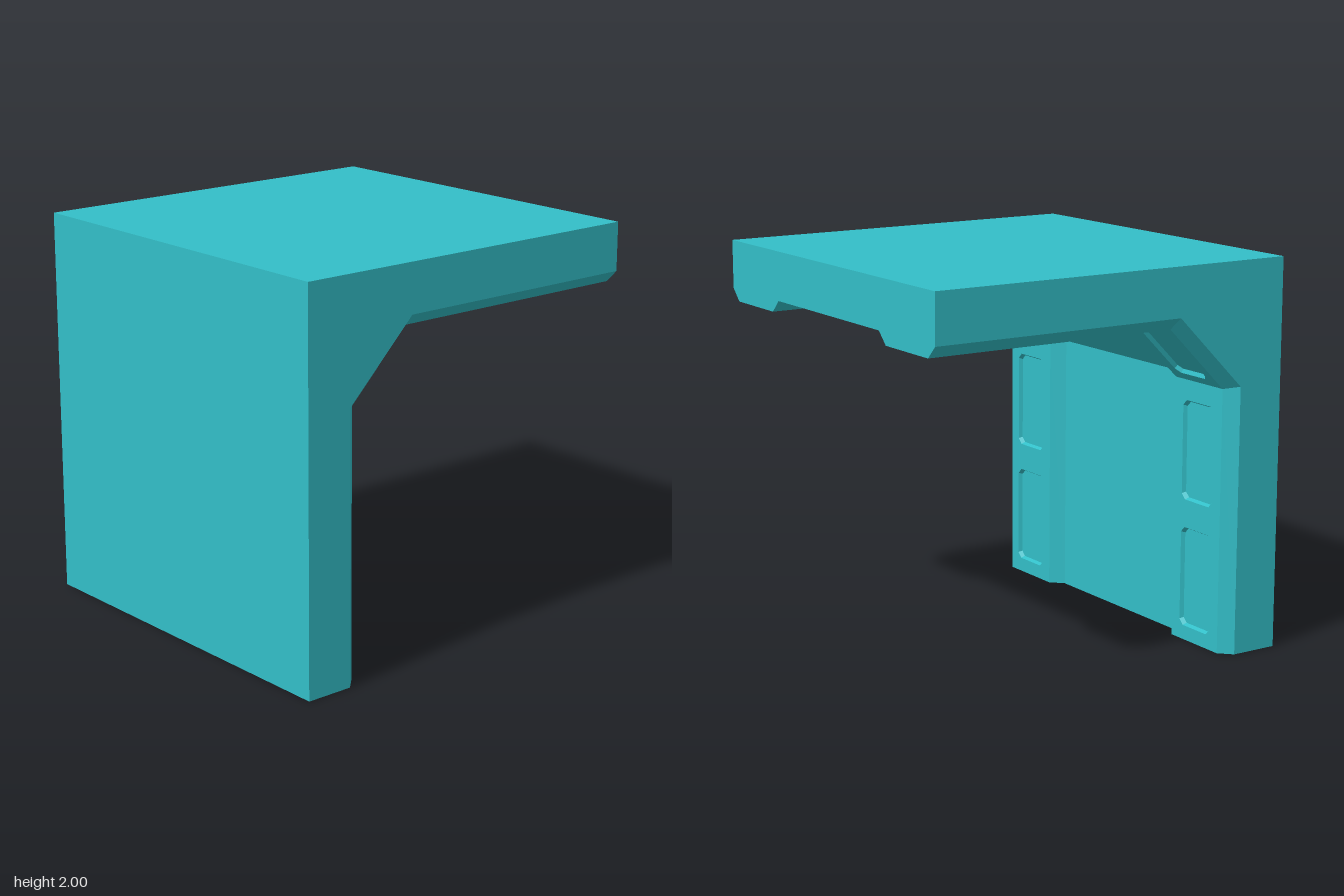
import * as THREE from 'three';

const material = new THREE.MeshStandardMaterial({ color: 0x33bfc8, flatShading: true });

// Room-side outline of the slab and the raised crest of the ribs (x, y)
const base = [[-0.75, 0], [-0.75, 1.375], [-0.375, 1.75], [1, 1.75]];
const crest = [[-0.6875, 0], [-0.6875, 1.36], [-0.36, 1.6875], [1, 1.6875]];
const HALF = 0.25, FLAT = 0.1875; // rib half widths at base and crest
const DEPTH = 0.02, LIP = 0.01; // recess depth and wall slope

// Panel ranges measured along each crest segment
const panels = [
  [[0.075, 0.595], [0.74, 1.255]],
  [[0.055, 0.41]],
  [[0.105, 0.62], [0.765, 1.285]],
];

function quadMesh(name, quads) {
  const pos = [];
  for (const [a, b, c, d] of quads) pos.push(...a, ...b, ...c, ...a, ...c, ...d);
  const geo = new THREE.BufferGeometry();
  geo.setAttribute('position', new THREE.Float32BufferAttribute(pos, 3));
  geo.computeVertexNormals();
  const mesh = new THREE.Mesh(geo, material);
  mesh.name = name;
  return mesh;
}

// Counter-clockwise rectangle with clipped corners
function octagon(u0, u1, v, cut) {
  return [
    [u0 + cut, -v], [u1 - cut, -v], [u1, -v + cut], [u1, v - cut],
    [u1 - cut, v], [u0 + cut, v], [u0, v - cut], [u0, -v + cut],
  ].map(([x, y]) => new THREE.Vector2(x, y));
}

// One straight crest face with its recessed panels
function makeFace(a, b, ranges) {
  const group = new THREE.Group();
  group.name = 'ribFace';
  const u = new THREE.Vector3(b[0] - a[0], b[1] - a[1], 0);
  const length = u.length();
  u.normalize();
  const face = new THREE.Shape([[0, -FLAT], [length, -FLAT], [length, FLAT], [0, FLAT]]
    .map(([x, y]) => new THREE.Vector2(x, y)));

  for (const [u0, u1] of ranges) {
    const rim = octagon(u0, u1, 0.123, 0.028);
    const floor = octagon(u0 + LIP, u1 - LIP, 0.123 - LIP, 0.025);
    face.holes.push(new THREE.Path(rim));
    const walls = rim.map((p, i) => {
      const j = (i + 1) % rim.length;
      return [[p.x, p.y, 0], [rim[j].x, rim[j].y, 0],
        [floor[j].x, floor[j].y, -DEPTH], [floor[i].x, floor[i].y, -DEPTH]];
    });
    group.add(quadMesh('recessWalls', walls));
    const panel = new THREE.Mesh(new THREE.ShapeGeometry(new THREE.Shape(floor)), material);
    panel.name = 'recessedPanel';
    panel.position.z = -DEPTH;
    group.add(panel);
  }
  const surface = new THREE.Mesh(new THREE.ShapeGeometry(face), material);
  surface.name = 'ribSurface';
  group.add(surface);

  // Local x follows the segment, y the rib's width, z points into the room
  const frame = new THREE.Matrix4().makeBasis(
    u, new THREE.Vector3(0, 0, 1), new THREE.Vector3(u.y, -u.x, 0));
  group.quaternion.setFromRotationMatrix(frame);
  group.position.set(a[0], a[1], 0);
  return group;
}

function makeRib(name, z) {
  const rib = new THREE.Group();
  rib.name = name;
  const sides = [];
  for (let i = 0; i < 3; i++) {
    rib.add(makeFace(crest[i], crest[i + 1], panels[i]));
    // Sloping flanks on both sides
    for (const s of [1, -1]) {
      const quad = [[...crest[i], s * FLAT], [...crest[i + 1], s * FLAT],
        [...base[i + 1], s * HALF], [...base[i], s * HALF]];
      sides.push(s > 0 ? quad : quad.reverse());
    }
  }
  // End caps at the floor and at the ceiling's free edge
  const cap = (i) => [[...base[i], -HALF], [...crest[i], -FLAT],
    [...crest[i], FLAT], [...base[i], HALF]];
  sides.push(cap(0), cap(3).reverse());
  rib.add(quadMesh('ribFlanks', sides));
  rib.position.z = z;
  return rib;
}

export function createModel() {
  const model = new THREE.Group();
  model.name = 'wallAndCeilingCorner';

  // Wall and ceiling in one slab with a chamfered inner corner
  const outline = [[-1, 0], ...base, [1, 2], [-1, 2]].map(([x, y]) => new THREE.Vector2(x, y));
  const geo = new THREE.ExtrudeGeometry(new THREE.Shape(outline), { depth: 2, bevelEnabled: false });
  geo.translate(0, 0, -1);
  const slab = new THREE.Mesh(geo, material);
  slab.name = 'wallAndCeiling';
  model.add(slab);

  model.add(makeRib('frontRib', 0.75), makeRib('backRib', -0.75));
  return model;
}
